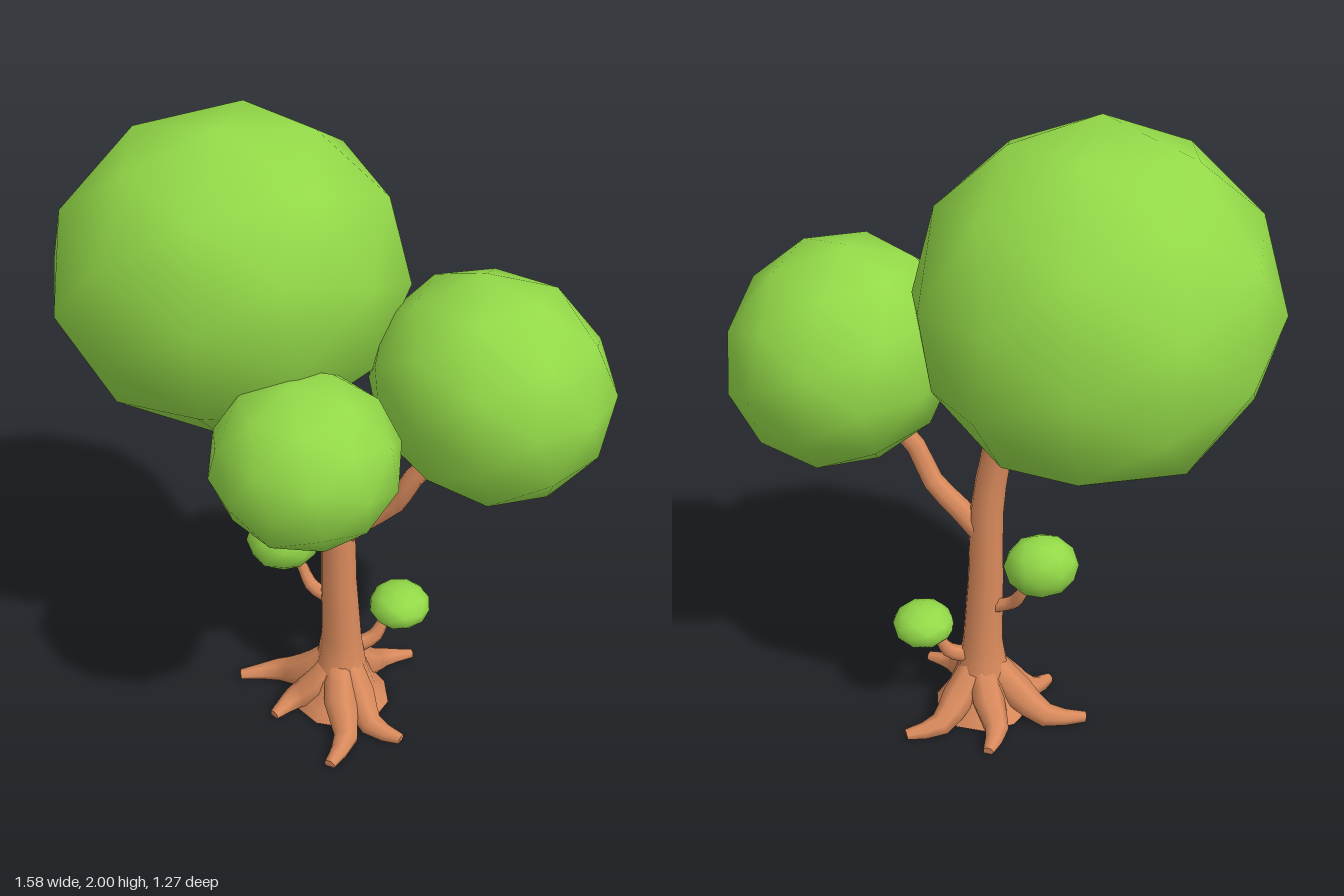
import * as THREE from 'three';
import { mergeVertices } from 'three/addons/utils/BufferGeometryUtils.js';

const bark = new THREE.MeshStandardMaterial({ color: 0xd98a5c });
const leaf = new THREE.MeshStandardMaterial({ color: 0x93d948 });

// Tapered limb through points [x, y, z, radius], closed at both ends, kept above ground
function limb(name, points, sides = 8, steps = 8) {
  const curve = new THREE.CatmullRomCurve3(points.map(p => new THREE.Vector3(p[0], p[1], p[2])));
  const frames = curve.computeFrenetFrames(steps, false);
  const pos = [], index = [];
  const put = v => pos.push(v.x, Math.max(0, v.y), v.z);
  for (let i = 0; i <= steps; i++) {
    const t = i / steps;
    // getPoint spaces its parameter evenly over the control points
    const u = t * (points.length - 1), k = Math.min(Math.floor(u), points.length - 2);
    const r = THREE.MathUtils.lerp(points[k][3], points[k + 1][3], u - k);
    const c = curve.getPoint(t), tan = curve.getTangent(t);
    const n = frames.normals[i].clone().addScaledVector(tan, -frames.normals[i].dot(tan)).normalize();
    const b = new THREE.Vector3().crossVectors(tan, n);
    for (let j = 0; j < sides; j++) {
      const a = j / sides * Math.PI * 2;
      put(c.clone().addScaledVector(n, Math.cos(a) * r).addScaledVector(b, Math.sin(a) * r));
    }
  }
  for (let i = 0; i < steps; i++) for (let j = 0; j < sides; j++) {
    const a = i * sides + j, b = i * sides + (j + 1) % sides;
    index.push(a, b, a + sides, b, b + sides, a + sides);
  }
  // end caps with their own corners so the rims stay sharp
  for (const end of [0, steps]) {
    const base = pos.length / 3;
    pos.push(...pos.slice(end * sides * 3, (end + 1) * sides * 3));
    for (let j = 1; j < sides - 1; j++) {
      if (end) index.push(base, base + j, base + j + 1);
      else index.push(base, base + j + 1, base + j);
    }
  }
  const g = new THREE.BufferGeometry();
  g.setAttribute('position', new THREE.Float32BufferAttribute(pos, 3));
  g.setIndex(index);
  g.computeVertexNormals();
  const mesh = new THREE.Mesh(g, bark);
  mesh.name = name;
  return mesh;
}

// Faceted ball with smooth shading, leaned a little and fitted into a box
function foliage(name, min, max, turn, lean = [0, 0]) {
  let g = new THREE.IcosahedronGeometry(1, 1);
  g.deleteAttribute('normal');
  g.deleteAttribute('uv');
  g = mergeVertices(g, 1e-3);
  g.rotateX(turn[0]).rotateY(turn[1]).rotateZ(turn[2]);
  const p = g.attributes.position;
  for (let i = 0; i < p.count; i++) {
    const y = p.getY(i);
    p.setX(i, p.getX(i) + lean[0] * y);
    p.setZ(i, p.getZ(i) + lean[1] * y);
  }
  g.computeBoundingBox();
  const lo = new THREE.Vector3(...min), size = new THREE.Vector3(...max).sub(lo);
  const box = g.boundingBox, s = size.divide(box.getSize(new THREE.Vector3()));
  g.translate(-box.min.x, -box.min.y, -box.min.z).scale(s.x, s.y, s.z).translate(lo.x, lo.y, lo.z);
  g.computeVertexNormals();
  const mesh = new THREE.Mesh(g, leaf);
  mesh.name = name;
  return mesh;
}

export function createModel() {
  const tree = new THREE.Group();
  tree.name = 'tree';

  // trunk with flared foot
  tree.add(limb('trunk', [
    [0.03, 0, 0.03, 0.16], [0.03, 0.07, 0.03, 0.115], [0.03, 0.15, 0.03, 0.085],
    [0.03, 0.27, 0.03, 0.066], [0.02, 0.5, 0.035, 0.058], [0.015, 0.75, 0.035, 0.053],
    [-0.01, 0.93, 0.03, 0.048], [-0.05, 1.12, 0.01, 0.042],
  ], 10, 14));

  // roots spreading over the ground, each with a slight bend
  const roots = [[0.29, -0.14], [0.2, 0.27], [-0.04, 0.36], [-0.3, -0.09], [0.03, -0.24], [-0.2, 0.12]];
  roots.forEach(([x, z], i) => {
    const dx = x - 0.03, dz = z - 0.03, w = i % 2 ? 0.12 : -0.12;
    const at = (t, y, r, bend) => [0.03 + dx * t - dz * w * bend, y, 0.03 + dz * t + dx * w * bend, r];
    tree.add(limb('root', [
      at(0.1, 0.16, 0.05, 0), at(0.35, 0.075, 0.055, 0.3), at(0.65, 0.022, 0.04, 1), at(1, 0.01, 0.018, 0),
    ], 7, 6));
  });

  // branches and twigs
  tree.add(limb('leftBranch', [
    [0.04, 0.67, 0.035, 0.036], [0.1, 0.74, 0.06, 0.037], [0.18, 0.82, 0.1, 0.034],
    [0.23, 0.93, 0.13, 0.032], [0.34, 1.06, 0.16, 0.03]], 7));
  tree.add(limb('frontBranch', [
    [0.01, 0.8, 0.05, 0.034], [-0.005, 0.87, 0.12, 0.032], [-0.03, 0.92, 0.2, 0.028], [-0.07, 1.03, 0.28, 0.026]], 7));
  tree.add(limb('leftTwig', [
    [0.07, 0.2, 0.02, 0.028], [0.14, 0.23, 0.01, 0.025], [0.17, 0.28, 0, 0.018], [0.22, 0.35, 0, 0.015]], 6));
  tree.add(limb('rightTwig', [
    [0, 0.4, 0.01, 0.026], [-0.06, 0.43, -0.02, 0.023], [-0.09, 0.49, -0.05, 0.018], [-0.13, 0.58, -0.06, 0.015]], 6));

  // crown and tufts
  tree.add(foliage('mainCrown', [-0.79, 1.02, -0.635], [0.23, 2, 0.375], [0.2, 0.3, 0.1], [0, 0.12]));
  tree.add(foliage('leftCrown', [0.1, 0.91, -0.205], [0.785, 1.6, 0.52], [0.5, 0.2, 0.3], [-0.08, 0.04]));
  tree.add(foliage('frontCrown', [-0.375, 0.93, 0.1], [0.16, 1.42, 0.635], [0.1, 0.6, 0.2]));
  tree.add(foliage('leftTuft', [0.125, 0.285, -0.1], [0.32, 0.415, 0.1], [0.3, 0.1, 0.2]));
  tree.add(foliage('rightTuft', [-0.265, 0.495, -0.16], [-0.03, 0.695, 0.04], [0.2, 0.5, 0.1]));
  return tree;
}
